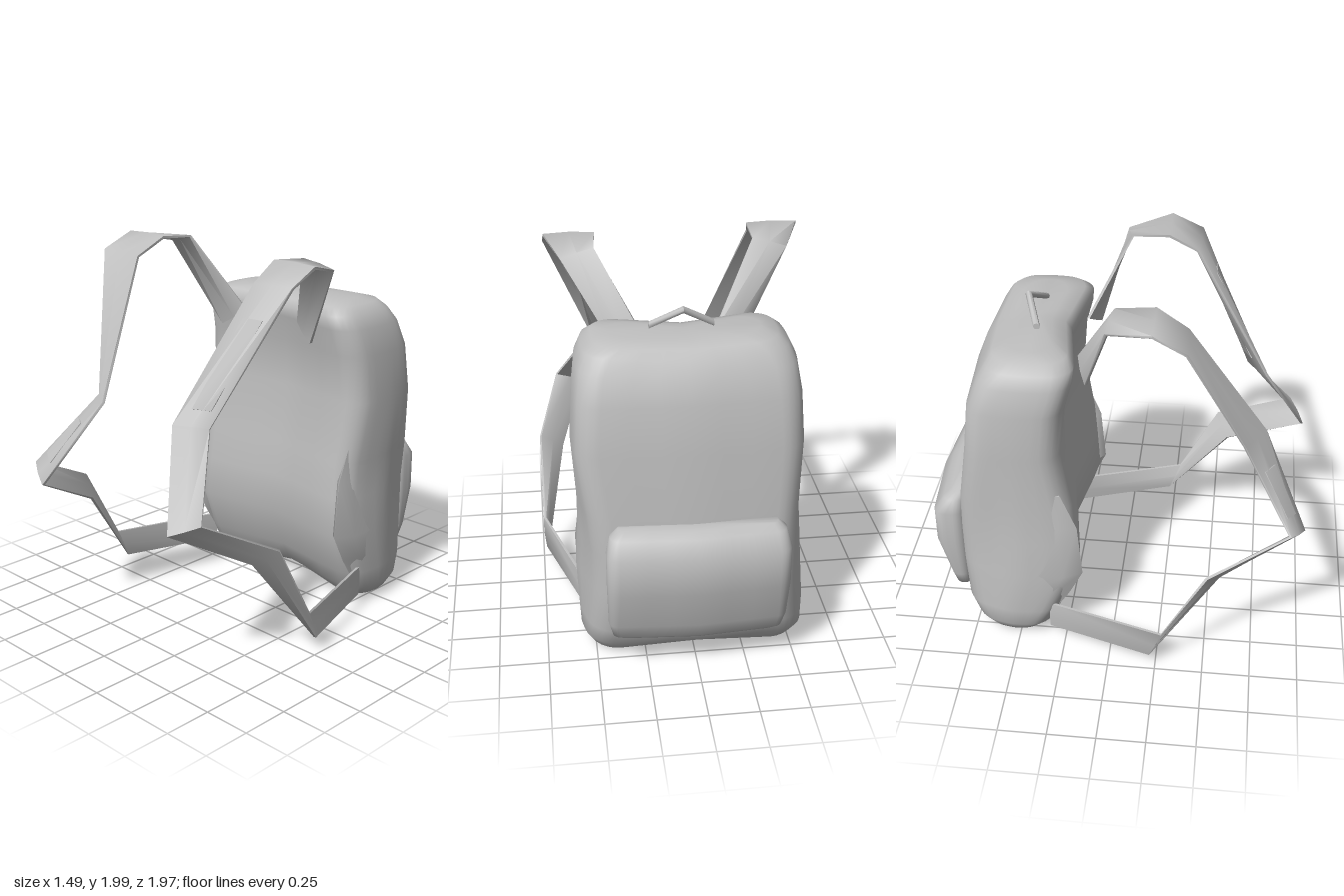
import * as THREE from 'three';
import { toCreasedNormals } from 'three/addons/utils/BufferGeometryUtils.js';

const V = (x, y, z) => new THREE.Vector3(x, y, z);

// Skin closed rings of equal length, cap both ends, and face the result outward
function loft(rings, crease) {
  const n = rings[0].length, pts = rings.flat(), idx = [];
  for (let i = 0; i < rings.length - 1; i++) {
    for (let j = 0; j < n; j++) {
      const a = i * n + j, b = i * n + (j + 1) % n;
      idx.push(a, b, a + n, b, b + n, a + n);
    }
  }
  [0, rings.length - 1].forEach((r, end) => {
    const mid = V(0, 0, 0);
    rings[r].forEach(p => mid.addScaledVector(p, 1 / n));
    const c = pts.push(mid) - 1;
    for (let j = 0; j < n; j++) {
      const a = r * n + j, b = r * n + (j + 1) % n;
      if (end) idx.push(a, b, c); else idx.push(b, a, c);
    }
  });
  let volume = 0;
  for (let i = 0; i < idx.length; i += 3) {
    volume += pts[idx[i]].dot(pts[idx[i + 1]].clone().cross(pts[idx[i + 2]]));
  }
  if (volume < 0) idx.reverse();
  const g = new THREE.BufferGeometry().setFromPoints(pts);
  g.setIndex(idx);
  return toCreasedNormals(g, crease);
}

// Horizontal rounded rectangle, sides bulging and tapering to the back, bent backward at its centre line
function ring([y, w, zf, zb, cx = 0, taper = 0], { radius, frontBend, backBend, bulge = 0, lift = 0 }) {
  const back = zb + backBend, hd = (zf - back) / 2, cz = (zf + back) / 2;
  const r = Math.min(radius, w * 0.9, hd * 0.9), out = [];
  for (let k = 0; k < 4; k++) {
    const corner = (q, t) => {
      const a = (q + t) * Math.PI / 2;
      const sx = q % 4 === 0 || q % 4 === 3 ? 1 : -1, sz = q % 4 < 2 ? 1 : -1;
      return [sx * (w - r) + r * Math.cos(a), sz * (hd - r) + r * Math.sin(a)];
    };
    for (let i = 0; i <= 5; i++) out.push(corner(k, i / 5));
    const a = corner(k, 1), b = corner(k + 1, 0);
    for (let i = 1; i < 6; i++) out.push([a[0] + (b[0] - a[0]) * i / 6, a[1] + (b[1] - a[1]) * i / 6]);
  }
  return out.map(([x, z]) => {
    const m = Math.max(0, 1 - Math.abs(x) / 0.42);
    const bend = THREE.MathUtils.mapLinear(z, -hd, hd, backBend, frontBend);
    const swell = 1 + (bulge * (1 - (z / hd) ** 2) - taper * Math.max(0, -z / hd)) / w;
    return V(cx + x * swell, y + lift * m, cz + z - bend * m);
  });
}

// Strap edge pairs: outer x, y, z, inner x, y, z, then how far out the left one sits
const STRAP = [
  [0.30, 1.485, -0.15, 0.165, 1.57, -0.20, 0.04],
  [0.55, 1.93, -0.02, 0.38, 1.97, 0.01, 0.04],
  [0.64, 1.985, 0.20, 0.38, 1.985, 0.20, 0.025],
  [0.66, 1.91, 0.36, 0.41, 1.90, 0.35, 0.01],
  [0.39, 1.23, 0.65, 0.24, 1.24, 0.75, 0.03],
  [0.62, 0.87, 0.90, 0.47, 0.80, 0.975, 0],
  [0.735, 0.66, 0.50, 0.61, 0.57, 0.56, 0],
  [0.735, 0.25, 0.28, 0.725, 0.09, 0.22, 0],
  [0.55, 0.24, -0.33, 0.55, 0.08, -0.33, 0],
];

function strapSections(side) {
  const rows = STRAP.map(([a, b, c, d, e, f, out], i) => {
    const shift = side > 0 ? out : 0, drop = side > 0 && i > 0 && i < 4 ? 0.02 : 0;
    return { o: V(side * (a + shift), b - drop, c), i: V(side * (d + shift), e - drop, f) };
  });
  rows.forEach((s, k) => {
    const p = rows[Math.max(0, k - 1)], q = rows[Math.min(rows.length - 1, k + 1)];
    const along = q.o.clone().add(q.i).sub(p.o).sub(p.i);
    s.n = along.cross(s.i.clone().sub(s.o)).normalize();
  });
  return rows;
}

function strapGeometry(side) {
  return loft(strapSections(side).map(({ o, i, n }) => {
    const at = (t, h) => o.clone().lerp(i, t).addScaledVector(n, h);
    return [at(0, 0.007), at(0.5, 0.013), at(1, 0.007), at(1, -0.007), at(0.5, -0.013), at(0, -0.007)];
  }), 1.2);
}

// Thin pad set through one strap segment, standing proud on both faces
function padGeometry(side, seg, t0, t1) {
  const s = strapSections(side), a = s[seg], b = s[seg + 1];
  return loft([t0, t1].map(t => {
    const n = a.n.clone().lerp(b.n, t).normalize();
    const at = (u, h) => a.o.clone().lerp(b.o, t).lerp(a.i.clone().lerp(b.i, t), u).addScaledVector(n, h);
    return [at(0.2, 0.02), at(0.72, 0.02), at(0.72, -0.02), at(0.2, -0.02)];
  }), 0.5);
}

export function createModel() {
  const group = new THREE.Group();
  const fabric = new THREE.MeshStandardMaterial({ color: 0xbfbfbf });
  fabric.name = 'grey fabric';
  const add = (name, geometry) => {
    const mesh = new THREE.Mesh(geometry, fabric);
    mesh.name = name;
    group.add(mesh);
  };

  // Main bag: height, half width, front z, back z, centre x, back taper
  const body = [
    [0.01, 0.45, -0.46, -0.68, -0.01, 0], [0.035, 0.51, -0.37, -0.73, -0.01, 0.02],
    [0.10, 0.55, -0.32, -0.77, -0.01, 0.03], [0.20, 0.555, -0.275, -0.815, -0.01, 0.05],
    [0.44, 0.555, -0.18, -0.84, 0, 0.08], [0.65, 0.54, -0.19, -0.84, 0, 0.06],
    [0.85, 0.53, -0.205, -0.83, 0.01, 0.03], [1.17, 0.54, -0.26, -0.78, 0.02, 0],
    [1.42, 0.525, -0.24, -0.755, 0.02, 0], [1.56, 0.505, -0.20, -0.70, 0.02, 0],
    [1.63, 0.47, -0.19, -0.66, 0.02, 0], [1.67, 0.42, -0.22, -0.63, 0.02, 0],
    [1.69, 0.34, -0.29, -0.56, 0.02, 0],
  ];
  add('bag body', loft(body.map(s => ring(s, {
    radius: 0.1, frontBend: 0.07, backBend: 0.025, bulge: 0.03,
    lift: s[0] < 0.05 ? 0.035 : s[0] > 1.6 ? -0.015 : 0,
  })), 1.2));

  // Back pocket
  const pocket = [
    [0.205, 0.38, -0.79, -0.88], [0.225, 0.425, -0.79, -0.90], [0.30, 0.445, -0.79, -0.92],
    [0.52, 0.45, -0.79, -0.985], [0.72, 0.45, -0.79, -0.985], [0.80, 0.43, -0.79, -0.93],
    [0.83, 0.39, -0.79, -0.89],
  ];
  add('back pocket', loft(pocket.map(s =>
    ring(s, { radius: 0.06, frontBend: 0.025, backBend: 0.03 })), 1.2));

  // Side flaps along the front corners: height, front z, back z, outer x
  const flap = [
    [0.14, -0.33, -0.45, 0.54], [0.30, -0.23, -0.48, 0.57], [0.45, -0.155, -0.50, 0.58],
    [0.75, -0.18, -0.42, 0.545], [0.95, -0.26, -0.38, 0.53],
  ];
  for (const side of [1, -1]) {
    const label = side > 0 ? 'left' : 'right';
    add(label + ' side flap', loft(flap.map(([y, f, b, x]) => [
      [0.49, f - 0.03], [0.525, f], [x, f - 0.1], [x, b], [0.49, b],
    ].map(([px, z]) => V(side * px, y, z))), 0.9));
    add(label + ' shoulder strap', strapGeometry(side));
  }
  add('left strap pad', padGeometry(1, 3, 0.24, 0.88));
  add('right strap pad', padGeometry(-1, 4, 0.3, 0.8));

  // Top carry handle: a bent rod
  const handle = [V(-0.125, 1.70, -0.415), V(0.03, 1.795, -0.475), V(0.19, 1.70, -0.415)];
  add('carry handle', loft(handle.map(p => Array.from({ length: 8 }, (_, k) => {
    const a = k * Math.PI / 4;
    return p.clone().add(V(0, 0.018 * Math.sin(a), 0.018 * Math.cos(a)));
  })), 0.9));

  return group;
}
